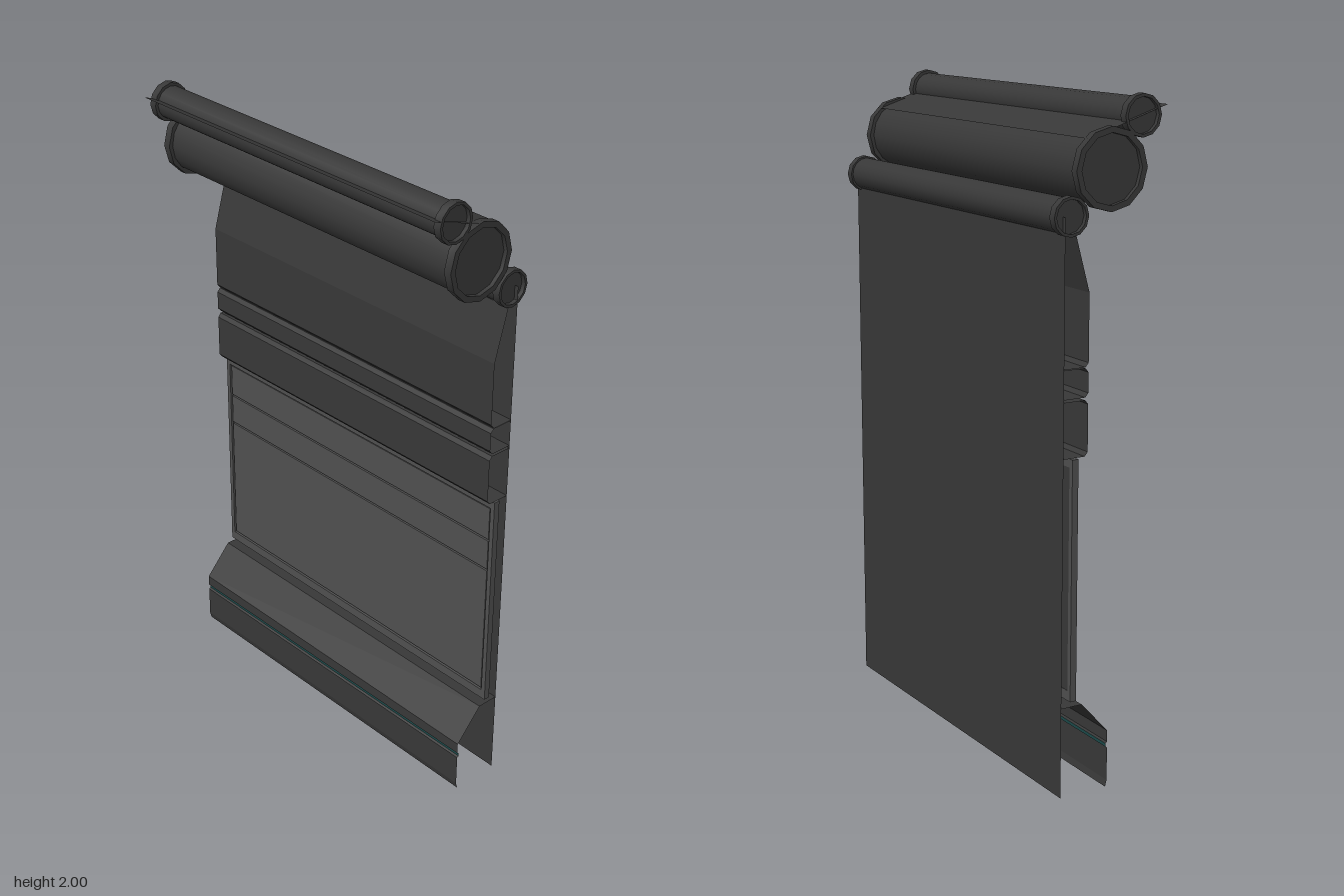
import * as THREE from 'three';
import { toCreasedNormals } from 'three/addons/utils/BufferGeometryUtils.js';

const HALF = 0.61;
const dark = new THREE.MeshStandardMaterial({ color: 0x383838 });
const sheetMat = new THREE.MeshStandardMaterial({ color: 0x383838, side: THREE.DoubleSide });
const panelMat = new THREE.MeshStandardMaterial({ color: 0x505050 });
const tealMat = new THREE.MeshStandardMaterial({ color: 0x1c4a4a, side: THREE.DoubleSide });

function add(parent, name, geometry, material) {
  const mesh = new THREE.Mesh(geometry, material);
  mesh.name = name;
  parent.add(mesh);
  return mesh;
}

// Thin folded sheet across the full width, from a [z, y] profile listed top down
function sheet(parent, name, profile, material = sheetMat) {
  const plane = new THREE.PlaneGeometry(HALF * 2, 1, 1, profile.length - 1);
  const pos = plane.attributes.position;
  for (let i = 0; i < pos.count; i++) {
    const [z, y] = profile[Math.floor(i / 2)];
    pos.setY(i, y);
    pos.setZ(i, z);
  }
  const geometry = plane.toNonIndexed();
  geometry.computeVertexNormals();
  return add(parent, name, geometry, material);
}

// Roller with a rimmed, recessed cap at each end
function roller(parent, name, z, y, bodyRadius, capRadius) {
  const group = new THREE.Group();
  group.name = name;
  group.position.set(0, y, z);
  const body = new THREE.CylinderGeometry(bodyRadius, bodyRadius, 1.18, 16, 1, true);
  add(group, name + 'Body', body.rotateZ(Math.PI / 2), dark);

  const inner = capRadius * 0.85;
  const profile = [[0, 0], [capRadius, 0], [capRadius, 0.025], [inner, 0.025], [inner, 0.012], [0, 0.012]];
  const lathe = new THREE.LatheGeometry(profile.map(p => new THREE.Vector2(...p)), 12);
  const capGeometry = toCreasedNormals(lathe, Math.PI / 5);
  for (const side of [-1, 1]) {
    const cap = add(group, name + 'Cap', capGeometry, dark);
    cap.rotation.z = -side * Math.PI / 2;
    cap.position.x = side * 0.585;
  }
  parent.add(group);
}

function box(parent, name, x, y0, y1, z0, z1, material) {
  const mesh = add(parent, name, new THREE.BoxGeometry(x * 2, y1 - y0, z1 - z0), material);
  mesh.position.set(0, (y0 + y1) / 2, (z0 + z1) / 2);
}

export function createModel() {
  const model = new THREE.Group();
  model.name = 'rollerPanel';

  // Three rollers and the sheet that passes over the large one
  roller(model, 'topRoller', 0.1, 1.94, 0.05, 0.06);
  roller(model, 'mainRoller', 0, 1.8, 0.103, 0.116);
  roller(model, 'rearRoller', -0.13, 1.68, 0.05, 0.056);
  sheet(model, 'feedSheet', [[-0.077, 1.885], [0.18, 1.967]]);

  // Flat back
  sheet(model, 'backSheet', [[-0.15, 1.68], [-0.15, 0]]);

  // Folded front sections
  sheet(model, 'upperPanel', [[-0.115, 1.63], [-0.07, 1.47], [-0.07, 1.275], [-0.08, 1.263], [-0.15, 1.263]]);
  for (const [top, bottom] of [[1.26, 1.178], [1.17, 1.01]]) {
    sheet(model, 'foldedBand', [
      [-0.15, top], [-0.08, top], [-0.07, top - 0.012],
      [-0.07, bottom + 0.012], [-0.08, bottom], [-0.15, bottom],
    ]);
  }

  // Framed middle panel with three boards
  const frame = new THREE.Shape();
  frame.moveTo(-HALF, 0.29).lineTo(HALF, 0.29).lineTo(HALF, 1.005).lineTo(-HALF, 1.005).closePath();
  const hole = new THREE.Path();
  hole.moveTo(-0.595, 0.32).lineTo(-0.595, 0.98).lineTo(0.595, 0.98).lineTo(0.595, 0.32).closePath();
  frame.holes.push(hole);
  const frameGeometry = new THREE.ExtrudeGeometry(frame, { depth: 0.02, bevelEnabled: false });
  add(model, 'panelFrame', frameGeometry, panelMat).position.z = -0.12;
  box(model, 'panelBacking', 0.6, 0.31, 0.99, -0.119, -0.112, dark);
  for (const [y0, y1] of [[0.325, 0.757], [0.763, 0.862], [0.868, 0.975]]) {
    box(model, 'panelBoard', 0.59, y0, y1, -0.113, -0.103, panelMat);
  }

  // Bottom apron, slanting forward and open underneath
  sheet(model, 'apronSlope', [[-0.15, 0.275], [-0.08, 0.275], [0.01, 0.175], [0.01, 0.14], [0.004, 0.136]]);
  sheet(model, 'apronStripe', [[0.004, 0.136], [0.004, 0.126]], tealMat);
  sheet(model, 'apronFront', [[0.004, 0.126], [0.01, 0.122], [0.01, 0.02], [0.005, 0]]);

  return model;
}
